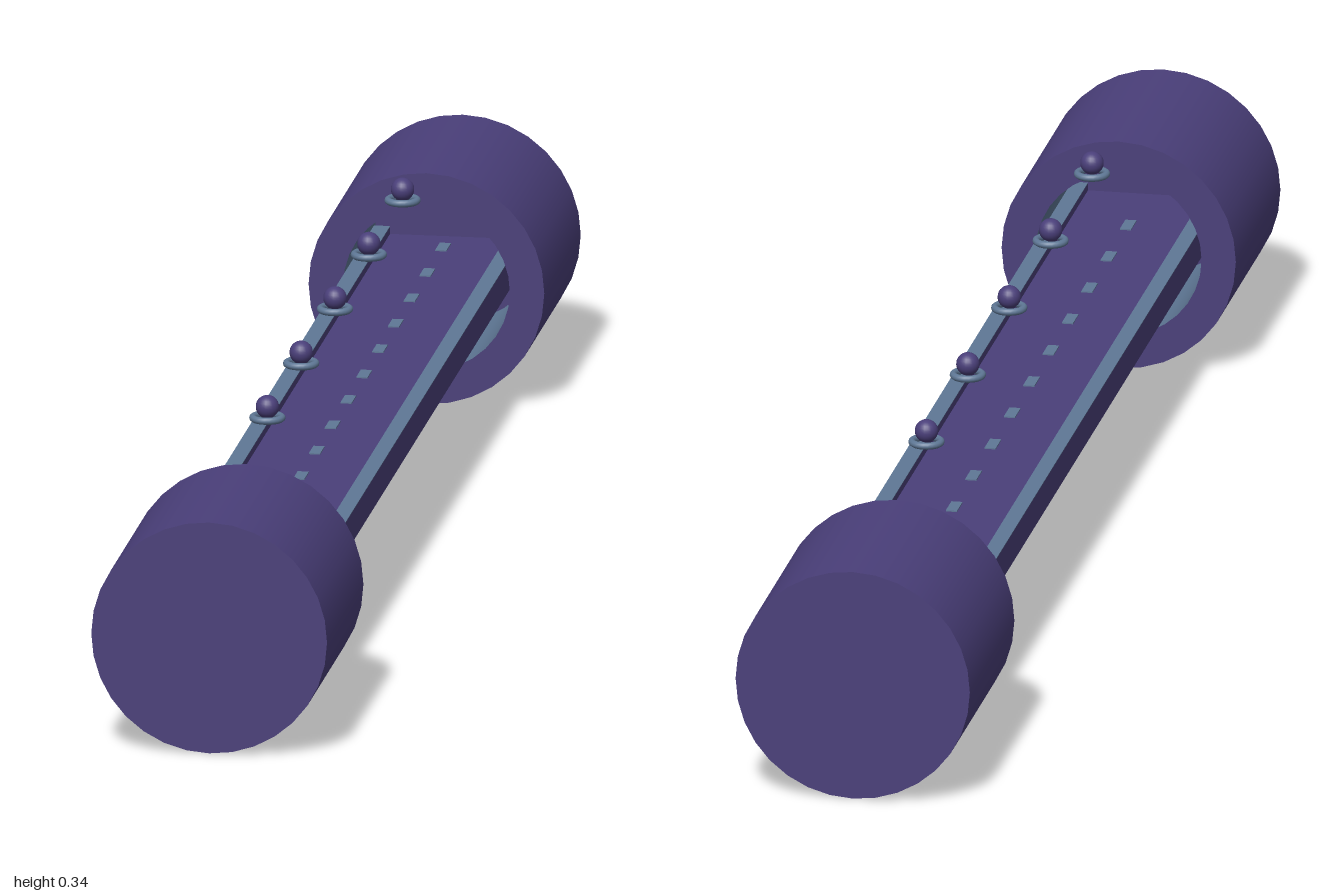
import * as THREE from 'three';

const purple = new THREE.MeshStandardMaterial({ color: 0x4a3f7a });
const slate = new THREE.MeshStandardMaterial({ color: 0x5f7896 });
const lining = new THREE.MeshStandardMaterial({ color: 0x5f7896, side: THREE.DoubleSide });

const AXIS = 0.147;   // height of the tunnel axis
const OUTER = 0.147, BORE = 0.104;
const MOUTH = 0.713, END = 1, BACK = 0.96;

function add(parent, name, geometry, material, x = 0, y = 0, z = 0) {
  const mesh = new THREE.Mesh(geometry, material);
  mesh.name = name;
  mesh.position.set(x, y, z);
  parent.add(mesh);
  return mesh;
}

// Hollow drum, closed at +z and open towards the deck
function makePortal(name) {
  const portal = new THREE.Group();
  portal.name = name;
  const tube = (r, a, b) => new THREE.CylinderGeometry(r, r, b - a, 32, 1, true)
    .rotateX(Math.PI / 2).translate(0, AXIS, (a + b) / 2);
  add(portal, 'portalShell', tube(OUTER, MOUTH, END), purple);
  add(portal, 'portalLining', tube(BORE, MOUTH, BACK), lining);
  add(portal, 'portalEnd', new THREE.CircleGeometry(OUTER, 32), purple, 0, AXIS, END);
  add(portal, 'portalRim', new THREE.RingGeometry(BORE, OUTER, 32).rotateY(Math.PI), purple, 0, AXIS, MOUTH);
  add(portal, 'boreBack', new THREE.CircleGeometry(BORE, 32).rotateY(Math.PI), purple, 0, AXIS, BACK);
  return portal;
}

export function createModel() {
  const model = new THREE.Group();
  model.name = 'tunnelBridge';

  // Tunnel portals at both ends
  model.add(makePortal('frontPortal'));
  const rear = makePortal('rearPortal');
  rear.rotation.y = Math.PI;
  model.add(rear);

  // Deck with raised kerbs carrying a light strip
  const length = 1.8;
  add(model, 'deck', new THREE.BoxGeometry(0.19, 0.03, length), purple, 0, 0.15, 0);
  for (const side of [-1, 1]) {
    const label = side > 0 ? 'left' : 'right';
    add(model, label + 'Kerb', new THREE.BoxGeometry(0.02, 0.01, length), purple, side * 0.085, 0.169, 0);
    add(model, label + 'Strip', new THREE.BoxGeometry(0.02, 0.001, length), slate, side * 0.085, 0.1745, 0);
  }

  // Centre line dashes
  const dash = new THREE.BoxGeometry(0.014, 0.002, 0.036);
  for (let i = 0; i < 14; i++) {
    add(model, 'laneDash', dash, slate, 0, 0.1655, 0.774 - i * 0.1245);
  }

  // Floating lamps: a ball resting in a ring
  const ball = new THREE.SphereGeometry(0.0145, 20, 14);
  const ring = new THREE.TorusGeometry(0.018, 0.0045, 10, 24).rotateX(Math.PI / 2);
  for (let i = 0; i < 5; i++) {
    const lamp = new THREE.Group();
    lamp.name = 'lamp';
    lamp.position.z = 0.541 - i * 0.2665;
    add(lamp, 'lampBall', ball, purple, 0, 0.3225, 0);
    add(lamp, 'lampRing', ring, slate, 0, 0.3085, 0);
    model.add(lamp);
  }
  return model;
}
